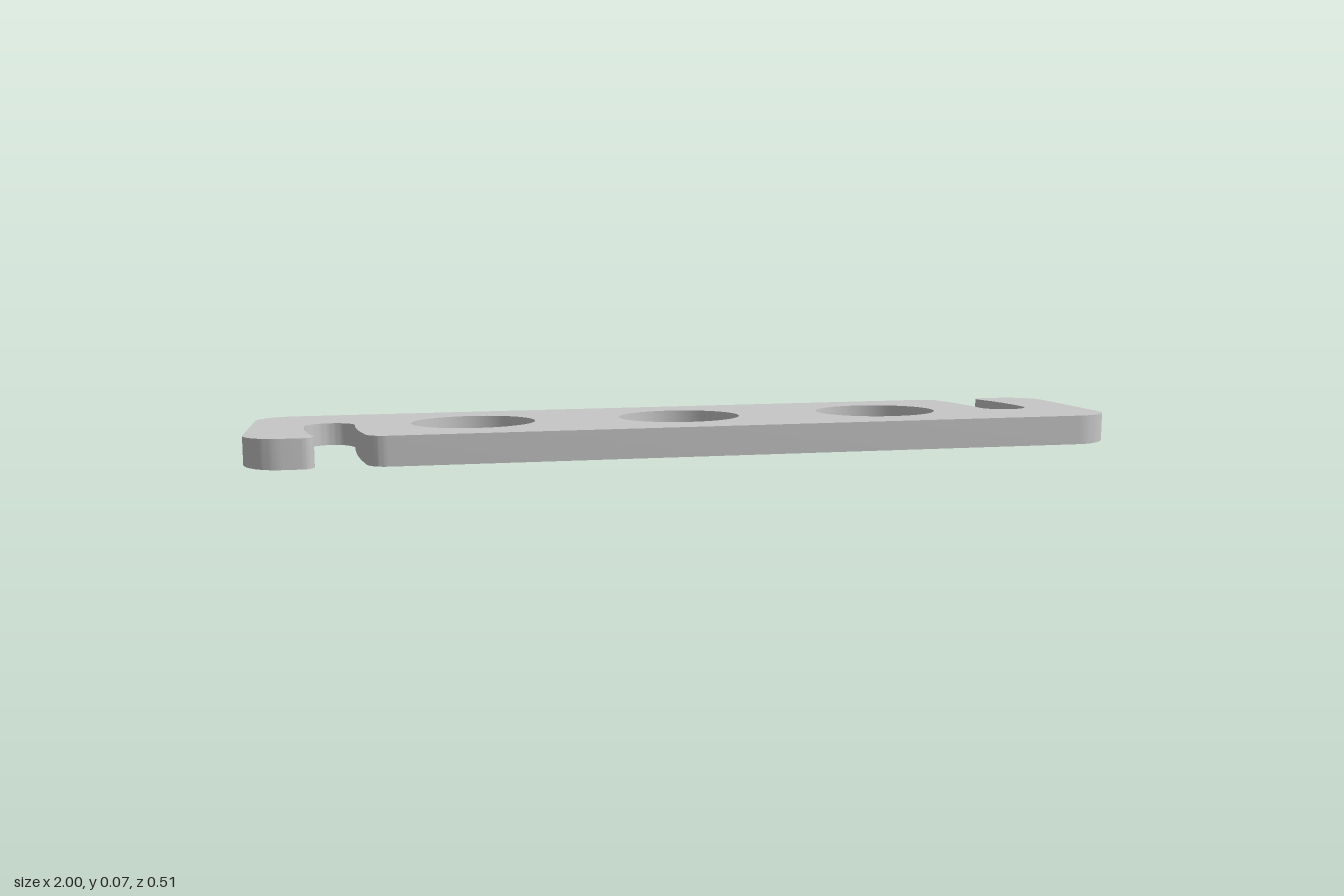
import * as THREE from 'three';
import { toCreasedNormals } from 'three/addons/utils/BufferGeometryUtils.js';

const HALF_DEPTH = 0.255;

// Half of the outline: hooked slot, finger and outer corners (shape y = -z)
function halfOutline() {
  const p = new THREE.Path();
  p.moveTo(0.68, HALF_DEPTH);
  p.bezierCurveTo(0.715, HALF_DEPTH, 0.735, 0.24, 0.739, 0.2);
  p.quadraticCurveTo(0.761, 0.1, 0.763, 0);
  p.absarc(0.82, 0, 0.057, Math.PI, Math.PI * 2, false);
  p.quadraticCurveTo(0.876, 0.11, 0.846, 0.22);
  p.bezierCurveTo(0.841, 0.24, 0.85, HALF_DEPTH, 0.87, HALF_DEPTH);
  p.lineTo(0.91, HALF_DEPTH);
  p.bezierCurveTo(0.96, HALF_DEPTH, 1, 0.215, 1, 0.165);
  p.lineTo(1, -0.165);
  p.bezierCurveTo(1, -0.215, 0.96, -HALF_DEPTH, 0.91, -HALF_DEPTH);
  return p.getPoints(14);
}

export function createModel() {
  const group = new THREE.Group();
  group.name = 'slottedPlate';
  const grey = new THREE.MeshStandardMaterial({ color: 0xc8c8c8 });
  grey.name = 'lightGrey';

  // The outline repeats after a half turn
  const half = halfOutline();
  const shape = new THREE.Shape([...half, ...half.map((v) => v.clone().negate())]);

  // Three round holes, wound against the clockwise outline so their walls face inwards
  for (const x of [-0.49, 0, 0.49]) {
    const hole = new THREE.Path();
    hole.absarc(x, 0, 0.144, 0, Math.PI * 2, false);
    shape.holes.push(hole);
  }

  const geo = new THREE.ExtrudeGeometry(shape, { depth: 1, bevelEnabled: false, curveSegments: 32 });
  geo.rotateX(-Math.PI / 2);

  // Slope the top face from the thick front to the thin back
  const pos = geo.attributes.position;
  for (let i = 0; i < pos.count; i++) {
    if (pos.getY(i) > 0.5) pos.setY(i, 0.0545 + 0.053 * pos.getZ(i));
    else pos.setY(i, 0);
  }

  const plate = new THREE.Mesh(toCreasedNormals(geo, 0.6), grey);
  plate.name = 'plate';
  group.add(plate);
  return group;
}
